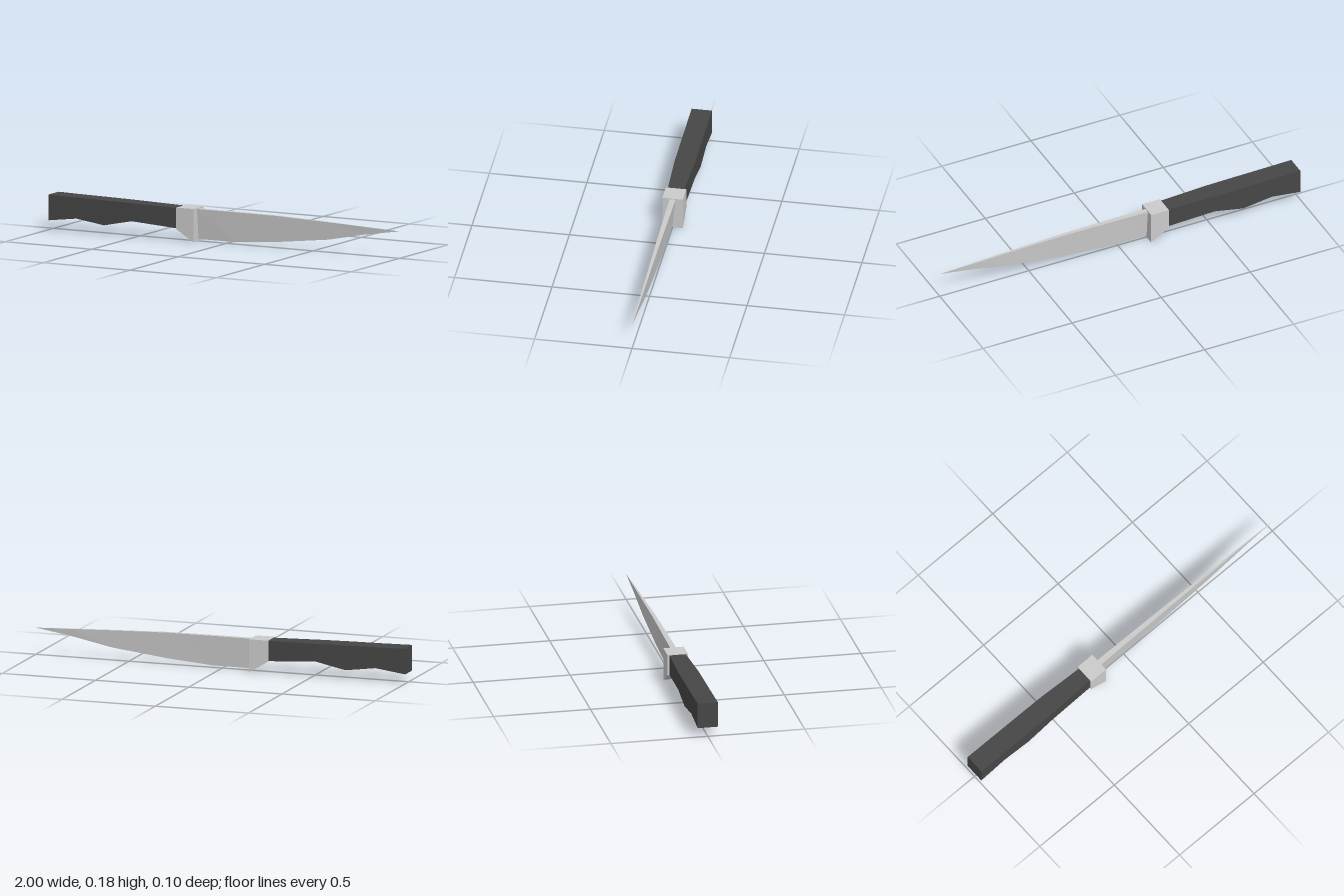
import * as THREE from 'three';

// Lofts four-cornered sections along x. Station: [x, top y, bottom y, half width at top, half width at bottom]
function loft(name, stations, color) {
  const sections = stations.map(([x, top, bottom, wTop, wBottom]) => [
    new THREE.Vector3(x, top, wTop),
    new THREE.Vector3(x, bottom, wBottom),
    new THREE.Vector3(x, bottom, -wBottom),
    new THREE.Vector3(x, top, -wTop),
  ]);
  const positions = [];
  const triangle = (a, b, c) => {
    if (new THREE.Triangle(a, b, c).getArea() < 1e-8) return; // collapsed edges
    for (const p of [a, b, c]) positions.push(p.x, p.y, p.z);
  };
  const quad = (a, b, c, d) => {
    triangle(a, b, c);
    triangle(a, c, d);
  };

  for (let s = 0; s < sections.length - 1; s++) {
    const a = sections[s], b = sections[s + 1];
    for (let i = 0; i < 4; i++) {
      const j = (i + 1) % 4;
      quad(a[i], a[j], b[j], b[i]);
    }
  }
  const first = sections[0], last = sections[sections.length - 1];
  quad(first[0], first[3], first[2], first[1]);
  quad(...last);

  const geometry = new THREE.BufferGeometry();
  geometry.setAttribute('position', new THREE.Float32BufferAttribute(positions, 3));
  geometry.computeVertexNormals();
  const mesh = new THREE.Mesh(geometry, new THREE.MeshStandardMaterial({ color, flatShading: true }));
  mesh.name = name;
  return mesh;
}

export function createModel() {
  const knife = new THREE.Group();
  knife.name = 'knife';

  // Grip with finger hollows along the underside
  knife.add(loft('handle', [
    [-1.0, 0.18, 0.048, 0.052, 0.052],
    [-0.84, 0.177, 0.069, 0.052, 0.052],
    [-0.68, 0.175, 0.047, 0.052, 0.052],
    [-0.52, 0.172, 0.08, 0.052, 0.052],
    [-0.26, 0.167, 0.062, 0.042, 0.042],
  ], 0x464646));

  // Collar with a slanted underside
  knife.add(loft('guard', [
    [-0.262, 0.17, 0.06, 0.0525, 0.0525],
    [-0.162, 0.17, 0.0, 0.0525, 0.0525],
  ], 0xcccccc));

  // Wedge-shaped blade: flat spine, sharp lower edge, pointed tip
  knife.add(loft('blade', [
    [-0.17, 0.165, 0.01, 0.015, 0],
    [0.05, 0.165, 0.01, 0.013, 0],
    [0.29, 0.164, 0.029, 0.01, 0],
    [0.59, 0.154, 0.064, 0.006, 0],
    [0.8, 0.146, 0.106, 0.004, 0],
    [1.0, 0.138, 0.138, 0, 0],
  ], 0xcccccc));

  return knife;
}
